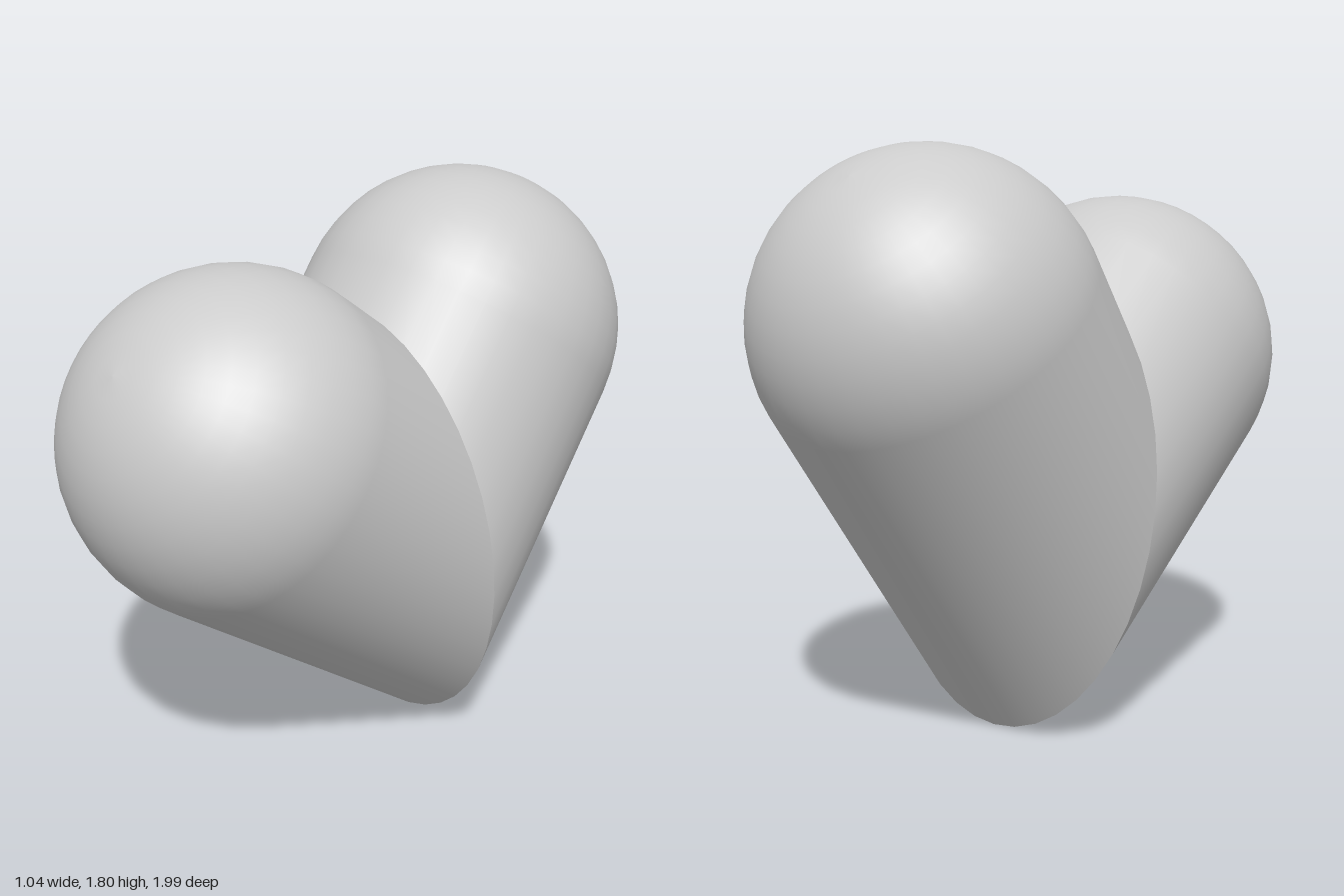
import * as THREE from 'three';

const R = 0.522;          // tube radius
const LENGTH = 1.2;       // tip to dome centre, along the arm
const TILT = 0.632;       // lean of the back arm
const TIP_Z = -0.19;

// Round-ended tube along +y whose foot is cut at 45 degrees; side = +1 / -1 picks the cut direction
function mitredArm(side) {
  const profile = [new THREE.Vector2(R, 0)];
  for (let i = 0; i <= 12; i++) {
    const a = (i / 12) * Math.PI / 2;
    profile.push(new THREE.Vector2(R * Math.cos(a), LENGTH + R * Math.sin(a)));
  }
  profile[profile.length - 1].x = 0;
  const geometry = new THREE.LatheGeometry(profile, 40);
  const p = geometry.attributes.position;
  for (let i = 0; i < p.count; i++) {
    if (p.getY(i) < 0.001) p.setY(i, R + side * p.getZ(i));
  }
  return geometry;
}

export function createModel() {
  const group = new THREE.Group();
  group.name = 'heart';
  const material = new THREE.MeshStandardMaterial({ color: 0xcccccc });

  // The two arms stand at a right angle and meet on the mitre plane
  const frontDir = new THREE.Vector3(0, Math.sin(TILT), Math.cos(TILT));
  const backDir = new THREE.Vector3(0, Math.cos(TILT), -Math.sin(TILT));

  const addLobe = (name, side, angle, offset) => {
    const lobe = new THREE.Mesh(mitredArm(side), material);
    lobe.name = name;
    lobe.rotation.x = angle;
    lobe.position.set(0, 0, TIP_Z).addScaledVector(offset, R);
    group.add(lobe);
  };
  addLobe('frontLobe', -1, Math.PI / 2 - TILT, backDir);
  addLobe('backLobe', 1, -TILT, frontDir);
  return group;
}
